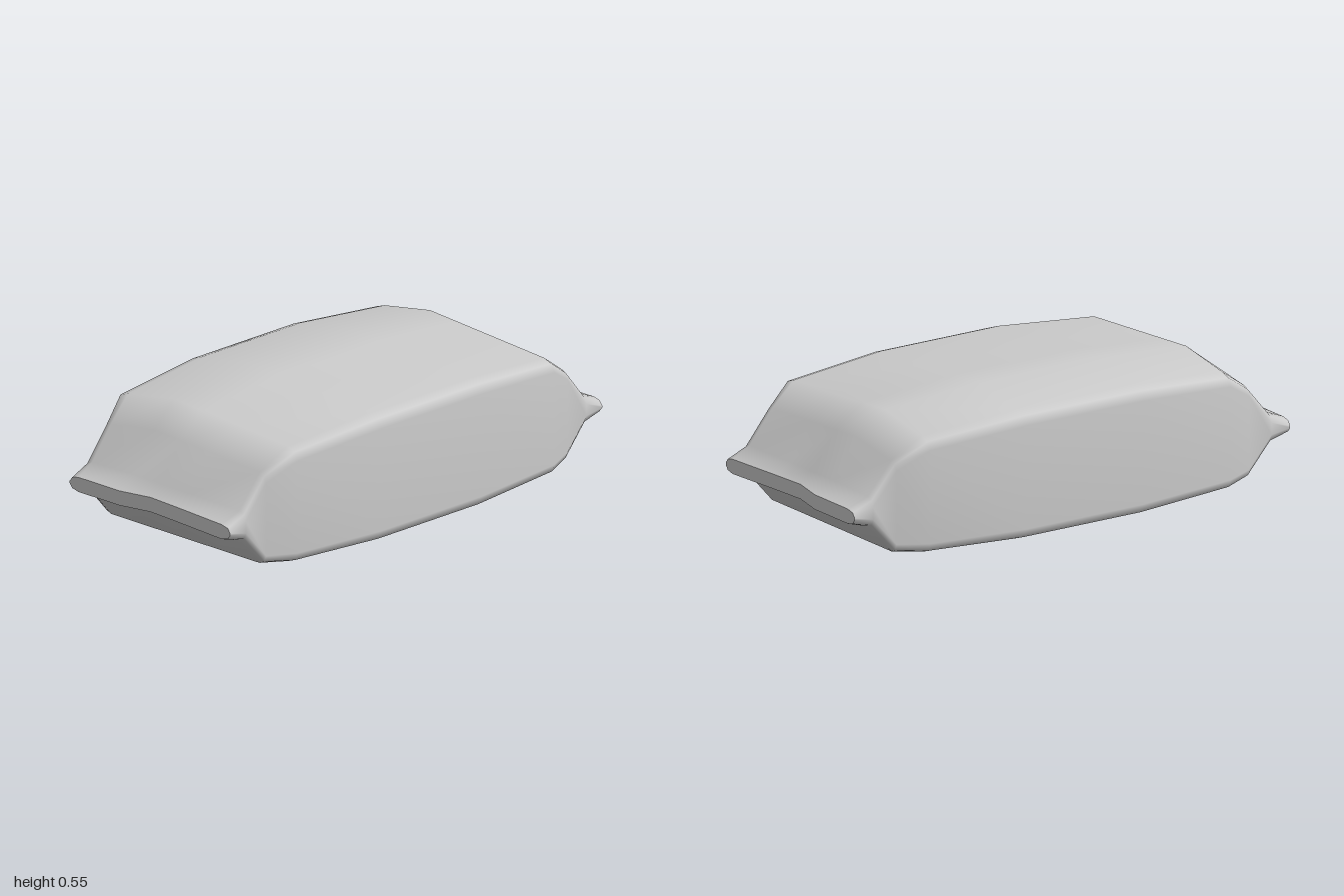
import * as THREE from 'three';

// Stations along the sack: [x, half depth, bottom y, ridge y, shoulder drop, corner depth, corner height]
const half = [
  [0.27, 0.503, 0.005, 0.553, 0.04, 0.06, 0.05],
  [0.69, 0.475, 0.022, 0.52, 0.04, 0.055, 0.045],
  [0.81, 0.425, 0.038, 0.43, 0.03, 0.035, 0.035],
  [0.915, 0.422, 0.155, 0.278, 0.005, 0.035, 0.035],
  [1.0, 0.422, 0.178, 0.236, 0, 0.045, 0.025],
];
const stations = [
  ...half.map(([x, ...rest]) => [-x, ...rest]).reverse(),
  ...half,
];

// Cross-section: top edge from front to back, then the bottom edge back again
function ring([x, hz, y0, y1, drop, rz, ry]) {
  const isEnd = Math.abs(x) === 1;
  const inner = [[0.3, 0.02], [-0.06, 0.03], [-0.38, 0]]; // depth fraction, notch of the sealed end
  const edge = (yAt, s) => {
    const corner = (side) => {
      const y = yAt(side * (hz - rz) / hz);
      return [[x, y - s * ry, side * hz], [x, y - s * ry * 0.3, side * (hz - rz * 0.3)], [x, y, side * (hz - rz)]];
    };
    return [
      ...corner(1),
      ...inner.map(([f, n]) => [isEnd ? x - Math.sign(x) * n : x, yAt(f), f * hz]),
      ...corner(-1).reverse(),
    ];
  };
  // The top rises to a ridge behind the middle
  const topY = (f) => y1 - drop * (f > -0.38 ? (f + 0.38) / 1.26 : (-0.38 - f) / 0.5);
  return [...edge(topY, 1), ...edge(() => y0, -1).reverse()];
}

function meshFrom(points, index, name, material) {
  const geometry = new THREE.BufferGeometry();
  geometry.setAttribute('position', new THREE.Float32BufferAttribute(points.flat(), 3));
  geometry.setIndex(index);
  geometry.computeVertexNormals();
  const mesh = new THREE.Mesh(geometry, material);
  mesh.name = name;
  return mesh;
}

export function createModel() {
  const group = new THREE.Group();
  group.name = 'sack';
  const material = new THREE.MeshStandardMaterial({ color: 0xcccccc });
  const rings = stations.map(ring);
  const n = rings[0].length;

  // Smooth filled body lofted through the stations
  const index = [];
  for (let i = 0; i < rings.length - 1; i++) {
    for (let j = 0; j < n; j++) {
      const a = i * n + j, b = i * n + (j + 1) % n, c = a + n, d = b + n;
      index.push(a, c, b, b, c, d);
    }
  }
  group.add(meshFrom(rings.flat(), index, 'sackBody', material));

  // Narrow end faces of the pinched seams, stitched between top and bottom edges
  const addEnd = (points, name, flip) => {
    const faces = [];
    for (let j = 0; j < n / 2 - 1; j++) {
      const a = j, b = j + 1, c = n - 1 - j, d = n - 2 - j;
      faces.push(...(flip ? [a, b, c, b, d, c] : [a, c, b, b, c, d]));
    }
    group.add(meshFrom(points, faces, name, material));
  };
  addEnd(rings[rings.length - 1], 'leftSeamEnd', false);
  addEnd(rings[0], 'rightSeamEnd', true);
  return group;
}
